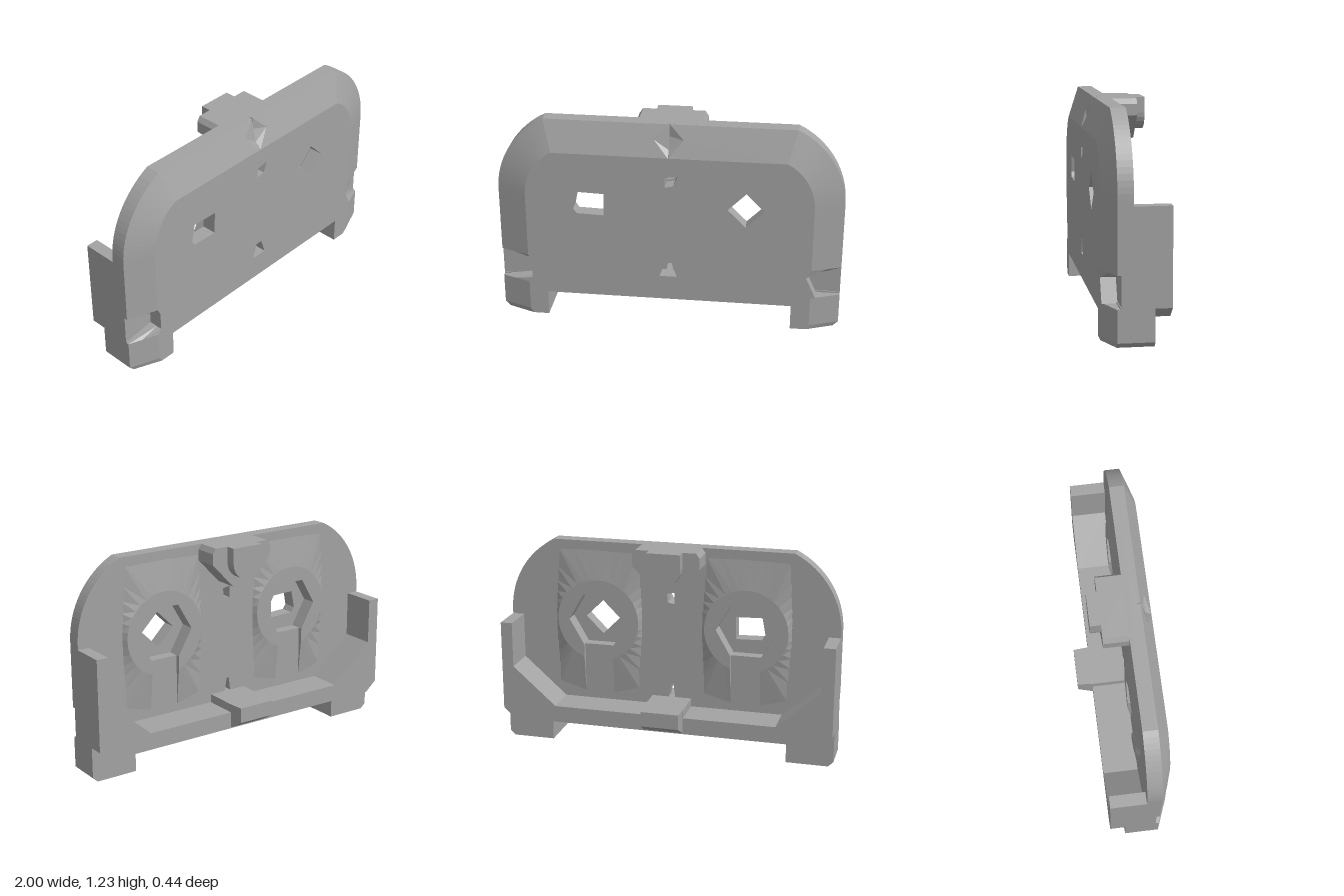
import * as THREE from 'three';

const grey = new THREE.MeshStandardMaterial({ color: 0xa3a3a3 });
grey.name = 'plain grey';

const pts = (list) => list.map(([x, y]) => new THREE.Vector2(x, y));

function shapeOf(outline, holes = []) {
  const shape = new THREE.Shape(pts(outline));
  shape.holes = holes.map((h) => new THREE.Path(pts(h)));
  return shape;
}

// Extrudes a shape in whole steps, then places each vertex by rule(x, y, level)
function layered(name, shape, levels, rule) {
  const geo = new THREE.ExtrudeGeometry(shape, { depth: levels - 1, steps: levels - 1, bevelEnabled: false });
  const p = geo.attributes.position;
  for (let i = 0; i < p.count; i++) p.setXYZ(i, ...rule(p.getX(i), p.getY(i), Math.round(p.getZ(i))));
  geo.computeVertexNormals();
  const mesh = new THREE.Mesh(geo, grey);
  mesh.name = name;
  return mesh;
}

// Straight slab between two z values
const slab = (name, shape, z0, z1) => layered(name, shape, 2, (x, y, k) => [x, y, k ? z1 : z0]);

const ring = (cx, cy, r, n, a0 = 0) => Array.from({ length: n }, (_, i) => {
  const a = a0 + (i / n) * Math.PI * 2;
  return [cx + r * Math.cos(a), cy + r * Math.sin(a)];
});

// Rounded upper corner, from the side up to the top edge
const corner = Array.from({ length: 17 }, (_, i) => {
  const a = (i / 16) * 1.112;
  return [0.498 + 0.502 * Math.cos(a), 0.78 + 0.502 * Math.sin(a)];
});
const mirror = (list) => list.map(([x, y]) => [-x, y]).reverse();

export function createModel() {
  const model = new THREE.Group();

  // Back half of the plate with two hexagonal pockets
  const hexes = [-0.45, 0.45].map((x) => ring(x, 0.75, 0.18, 6));
  model.add(slab('plateCore', shapeOf(
    [[-1, 0.15], [1, 0.15], ...corner, ...mirror(corner)],
    [...hexes,
      [[-0.015, 0.88], [0.025, 0.89], [0.03, 0.94], [-0.015, 0.95]],
      [[-0.02, 0.3], [0.02, 0.3], [0.005, 0.38], [-0.01, 0.38]]]), 0.075, 0.14));

  // Front half: sloped rim, side notches, feet fronts and a diamond dent on top
  const face = shapeOf([
    [-0.72, 0.15], [0.72, 0.15], [0.72, 0], [0.97, 0], [1, 0.03],
    [1, 0.21], [0.86, 0.21], [0.8, 0.34], [1, 0.39],
    ...corner, [0.085, 1.23], [0, 1.15], [-0.085, 1.23], ...mirror(corner),
    [-1, 0.39], [-0.81, 0.35], [-0.81, 0.24], [-1, 0.21],
    [-1, 0.03], [-0.97, 0], [-0.72, 0],
  ], [
    [[-0.53, 0.815], [-0.37, 0.81], [-0.375, 0.675], [-0.53, 0.68], [-0.55, 0.71]],
    ring(0.445, 0.75, 0.105, 4),
    [[-0.02, 0.99], [0, 0.99], [0.055, 0.94], [0.03, 0.88], [-0.02, 0.87]],
    [[-0.02, 0.39], [0.02, 0.39], [0.05, 0.3], [-0.05, 0.3]],
  ]);
  const depths = [0.14, 0.16, 0.19, 0.225];
  const slope = [0, 0, 0.46, 1];
  model.add(layered('plateFace', face, 4, (x, y, k) => {
    const t = slope[k], z = depths[k], ax = Math.abs(x);
    if (ax < 0.1 && y > 1.1) {
      const top = 1.23 - 0.18 * t;
      return [x * [0.02, 0.05, 1, 0.02][k], ax < 0.01 ? top - [0.1, 0.07, 0.06, 0.004][k] : top, z];
    }
    const inside = (ax < 0.65 && y < 1.1) || (ax < 0.9 && y < 0.4);
    if (inside) return [x, y, z];
    const nx = ax > 0.72 ? ax + (0.67 + (ax - 0.72) * 0.571 - ax) * t : ax - (ax > 0.65 ? 0.05 * t : 0);
    const ny = y > 0.78 ? y - (y - 0.78) * 0.4 * t : y;
    return [Math.sign(x) * nx, ny, z];
  }));

  // Pads around the pockets, fading from a ring to the plate, open below
  const gap = Math.asin(0.09 / 0.25);
  const pad = [];
  for (let i = 0; i <= 32; i++) {
    const a = -Math.PI / 2 + gap + (i / 32) * (Math.PI * 2 - 2 * gap);
    pad.push([0.25 * Math.cos(a), 0.25 * Math.sin(a)]);
  }
  for (let i = 4; i >= -1; i--) pad.push([0.18 * Math.cos(i * Math.PI / 3), 0.18 * Math.sin(i * Math.PI / 3)]);
  for (const side of [-1, 1]) {
    const mesh = layered('pocketPad', shapeOf(pad), 2, (x, y, k) => {
      if (!k) return [x, y, 0.05];
      if (Math.hypot(x, y) < 0.2) return [x, y, 0.08];
      if (y < 0 && Math.abs(x) < 0.1) return [x, -0.5, 0.08];
      const s = Math.min(0.27 / Math.max(Math.abs(x), 1e-4), (y > 0 ? 0.46 : 0.5) / Math.max(Math.abs(y), 1e-4));
      return [x * s, y * s, 0.08];
    });
    mesh.position.set(side * 0.45, 0.75, 0);
    model.add(mesh);
  }

  // U-shaped frame behind the plate
  const half = [[0.93, 0.15], [1, 0.21], [1, 0.75], [0.93, 0.75], [0.93, 0.48], [0.67, 0.25], [0.12, 0.25], [0.12, 0.3]];
  model.add(slab('rearFrame', shapeOf([...half, ...mirror(half)]), -0.13, 0.09));

  // Lower hook, tapered underneath
  model.add(layered('lowerHook', shapeOf([[-0.12, 0.15], [0.12, 0.15], [0.12, 0.3], [-0.12, 0.3]]), 2,
    (x, y, k) => (k ? [x, y, -0.12] : [x * 0.94, Math.max(y, 0.21), -0.22])));

  // Top clip and its rounded lug
  const clip = [[0.06, 0.99], [0.2, 1.135], [0.2, 1.2], [0.18, 1.23]];
  model.add(slab('topClip', shapeOf([...clip, ...mirror(clip)]), -0.07, 0.1));
  const lug = [[0.1, 1.23], [-0.1, 1.23]];
  for (let i = 0; i <= 12; i++) {
    const a = Math.PI * (1 + i / 12);
    lug.push([0.1 * Math.cos(a), 1.14 + 0.1 * Math.sin(a)]);
  }
  model.add(slab('topLug', shapeOf(lug), -0.13, -0.06));

  // Feet with a hexagonal socket underneath
  const heights = [0, 0.03, 0.22];
  for (const side of [-1, 1]) {
    const foot = shapeOf(
      [[-0.14, -0.145], [0.14, -0.145], [0.14, 0.04], [-0.14, 0.04]],
      [ring(0, -0.05, 0.055, 6)]);
    const mesh = layered('foot', foot, 3, (x, y, k) => [
      k === 0 && x * side > 0.1 ? x - side * 0.03 : x, heights[k], -y]);
    mesh.position.x = side * 0.86;
    model.add(mesh);
  }
  return model;
}
